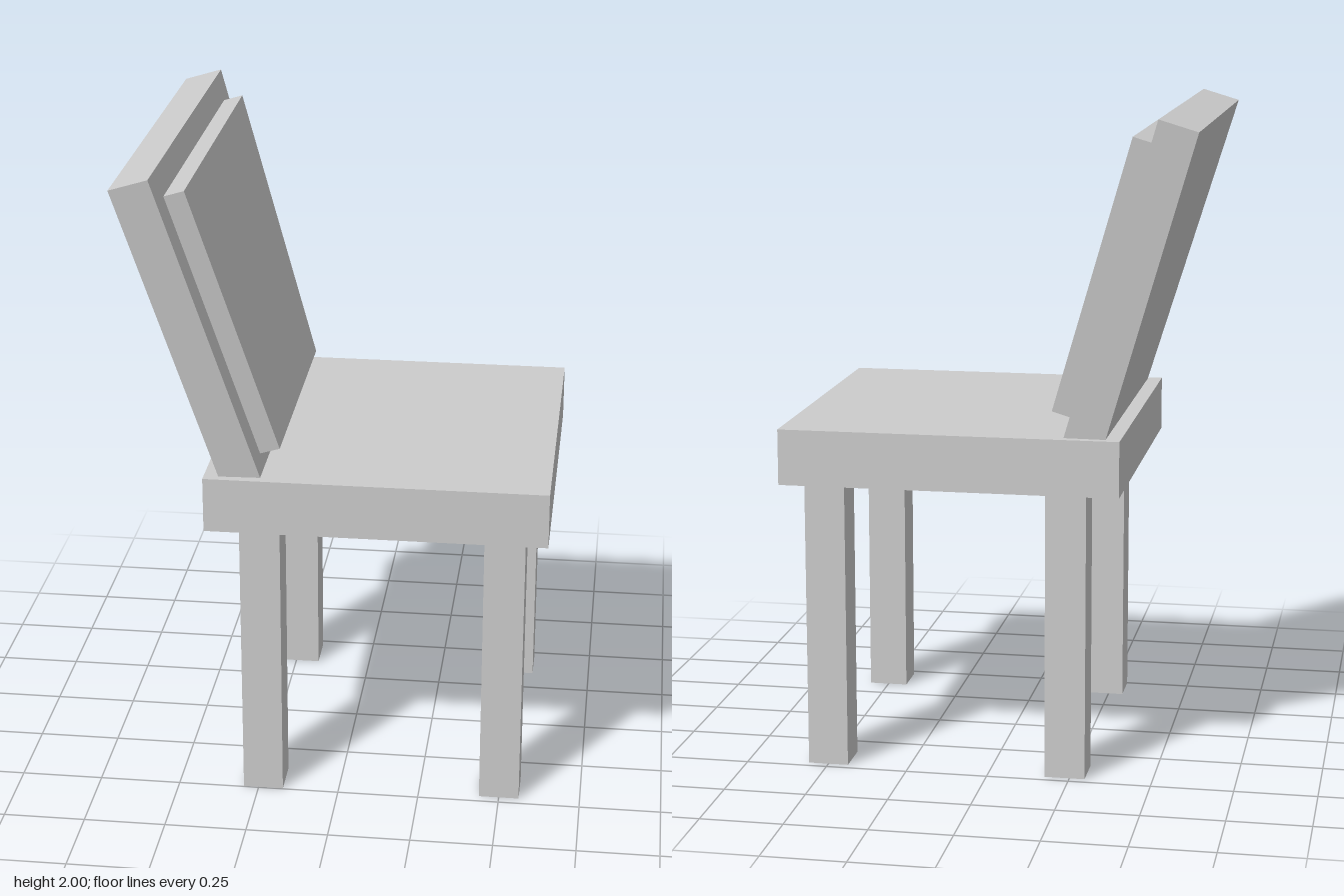
import * as THREE from 'three';

const material = new THREE.MeshStandardMaterial({ color: 0xcccccc, flatShading: true });
const TILT = 0.292; // backward lean of the backrest

function addBox(group, name, size, position) {
  const mesh = new THREE.Mesh(new THREE.BoxGeometry(...size), material);
  mesh.name = name;
  mesh.position.set(...position);
  group.add(mesh);
}

// Leaning slab that widens upwards; (x, y) is its lower rear edge
function addTaperedSlab(group, name, x, y, bottomHalf, topHalf, length, thickness) {
  const outline = new THREE.Shape([
    new THREE.Vector2(-bottomHalf, 0),
    new THREE.Vector2(bottomHalf, 0),
    new THREE.Vector2(topHalf, length),
    new THREE.Vector2(-topHalf, length),
  ]);
  const geometry = new THREE.ExtrudeGeometry(outline, { depth: thickness, bevelEnabled: false });
  geometry.rotateY(Math.PI / 2).rotateZ(TILT);
  const mesh = new THREE.Mesh(geometry, material);
  mesh.name = name;
  mesh.position.set(x, y, 0);
  group.add(mesh);
}

export function createModel() {
  const chair = new THREE.Group();
  chair.name = 'chair';

  // Seat
  addBox(chair, 'seat', [1.03, 0.17, 1.035], [0.115, 0.97, 0]);

  // Legs; one rear leg stands slightly further out
  const legs = [
    ['frontLegLeft', 0.5, 0.41],
    ['frontLegRight', 0.5, -0.412],
    ['rearLegLeft', -0.235, 0.435],
    ['rearLegRight', -0.235, -0.412],
  ];
  for (const [name, x, z] of legs) addBox(chair, name, [0.123, 0.885, 0.123], [x, 0.4425, z]);

  // Backrest and the pad on its face
  addTaperedSlab(chair, 'backrest', -0.342, 1.009, 0.488, 0.613, 1.0, 0.12);
  addTaperedSlab(chair, 'backPad', -0.242, 1.1, 0.411, 0.518, 0.862, 0.062);

  return chair;
}
